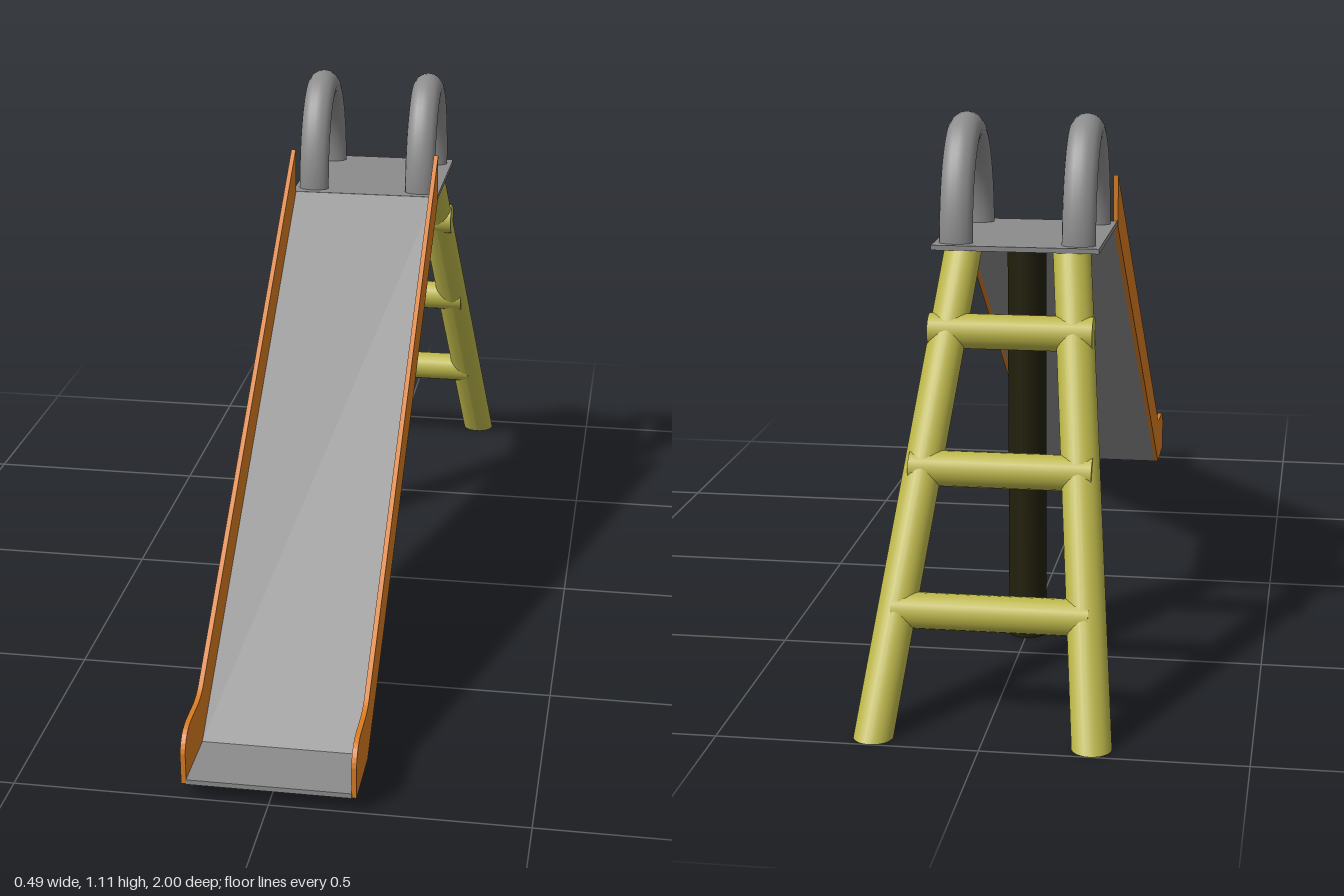
import * as THREE from 'three';

const mat = (name, color) => {
  const m = new THREE.MeshStandardMaterial({ color });
  m.name = name;
  return m;
};

// Extrude a (z, y) outline along x, centred on x = 0
function sideProfile(shape, width) {
  const g = new THREE.ExtrudeGeometry(shape, { depth: width, bevelEnabled: false, curveSegments: 8 });
  return g.rotateY(-Math.PI / 2).translate(width / 2, 0, 0);
}

export function createModel() {
  const model = new THREE.Group();
  model.name = 'playgroundSlide';
  const grey = mat('grey metal', 0x8c8c8c);
  const orange = mat('orange panel', 0xd97c22);
  const yellow = mat('yellow ladder', 0xbdb74a);
  const dark = mat('dark post', 0x211f0b);

  const add = (name, geometry, material, x = 0, y = 0, z = 0) => {
    const mesh = new THREE.Mesh(geometry, material);
    mesh.name = name;
    mesh.position.set(x, y, z);
    model.add(mesh);
    return mesh;
  };

  // Chute: thin sheet with a flat run-out
  const chute = new THREE.Shape([
    [1, 0.03], [1, 0.04], [0.858, 0.04], [-0.21, 0.862], [-0.21, 0.85], [0.855, 0.03],
  ].map(([z, y]) => new THREE.Vector2(z, y)));
  add('chute', sideProfile(chute, 0.32), grey);

  // Side wall outline with a rounded nose
  const wall = new THREE.Shape();
  wall.moveTo(0.998, 0.03);
  wall.lineTo(1, 0.095);
  wall.quadraticCurveTo(0.99, 0.138, 0.94, 0.138);
  wall.lineTo(0.89, 0.138);
  wall.quadraticCurveTo(0.86, 0.138, 0.84, 0.152);
  wall.lineTo(-0.21, 0.96);
  wall.lineTo(-0.21, 0.85);
  wall.lineTo(0.855, 0.03);
  const wallGeo = sideProfile(wall, 0.01);

  // Platform and its post
  add('platform', new THREE.BoxGeometry(0.335, 0.01, 0.335), grey, 0, 0.857, -0.377);
  add('post', new THREE.CylinderGeometry(0.04, 0.04, 0.853, 24), dark, 0, 0.4265, -0.377);

  // Hand hoop: half ring squeezed front to back
  const hoopGeo = new THREE.TorusGeometry(0.215, 0.034, 16, 32, Math.PI);
  hoopGeo.rotateY(Math.PI / 2).scale(1, 1, 0.61);

  // Ladder leg: upright cylinder sheared so both ends stay level
  const legHeight = 0.855;
  const legAt = (y) => ({ x: 0.206 - 0.114 * y, z: -0.962 + 0.537 * y });
  const legGeometry = (side) => {
    const g = new THREE.CylinderGeometry(0.038, 0.038, legHeight, 24);
    g.translate(0, legHeight / 2, 0);
    const p = g.attributes.position;
    for (let i = 0; i < p.count; i++) {
      const c = legAt(p.getY(i));
      p.setXYZ(i, p.getX(i) + side * c.x, p.getY(i), p.getZ(i) + c.z);
    }
    g.computeVertexNormals();
    return g;
  };

  for (const [label, side] of [['left', 1], ['right', -1]]) {
    add(label + 'Wall', wallGeo, orange, side * 0.164);
    add(label + 'Hoop', hoopGeo, grey, side * 0.123, 0.86, -0.378);
    add(label + 'LadderLeg', legGeometry(side), yellow);
  }

  // Rungs
  [[0.212, 0.188], [0.456, 0.178], [0.7, 0.163]].forEach(([y, half], i) => {
    const g = new THREE.CylinderGeometry(0.035, 0.035, half * 2, 20).rotateZ(Math.PI / 2);
    add('rung' + (i + 1), g, yellow, 0, y, legAt(y).z);
  });

  return model;
}
